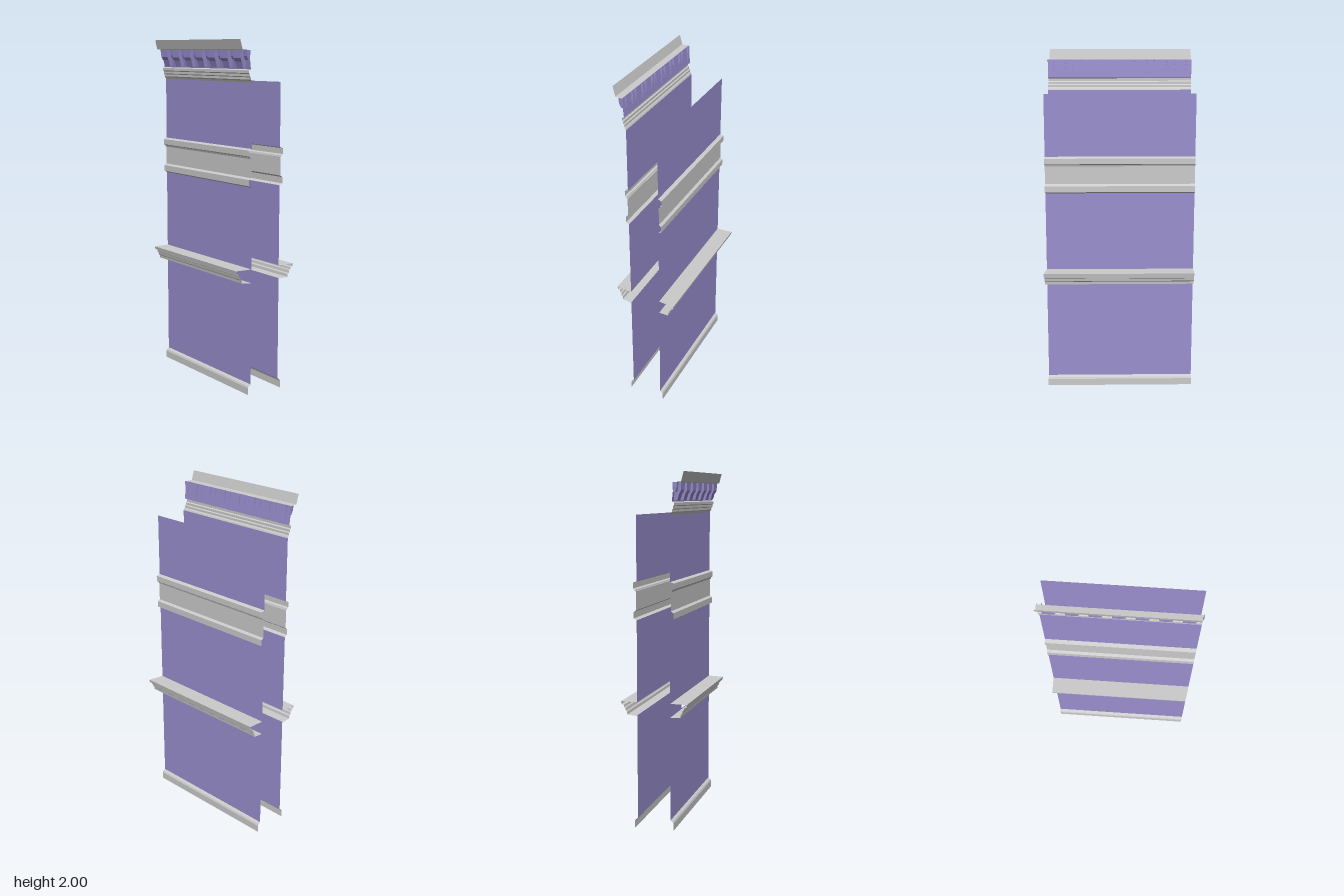
import * as THREE from 'three';

const grey = new THREE.MeshStandardMaterial({ color: 0xcccccc, side: THREE.DoubleSide, flatShading: true });
const purple = new THREE.MeshStandardMaterial({ color: 0x9a8fcf, side: THREE.DoubleSide, flatShading: true });

const WALL = 0.094; // distance of each wall plane from the centre

// The two walls: outward direction, left end, right end and mitre slope of the right end
const FRONT = { dir: 1, x0: -0.426, x1: 0.41, mitre: -0.15 };
const BACK = { dir: -1, x0: -0.44, x1: 0.425, mitre: 0.15 };

function meshFrom(name, positions, material) {
  const g = new THREE.BufferGeometry();
  g.setAttribute('position', new THREE.Float32BufferAttribute(positions, 3));
  g.computeVertexNormals();
  const m = new THREE.Mesh(g, material);
  m.name = name;
  return m;
}

// Quad a-b-c-d, counter-clockwise from outside
function quad(out, a, b, c, d) {
  out.push(...a, ...b, ...c, ...a, ...c, ...d);
}

// Sweeps a [depth, y] profile, listed top to bottom, along the length of a wall
function strip(name, wall, profile, material = grey) {
  const pos = [];
  const right = (z) => wall.x1 + wall.mitre * (z - WALL);
  for (let i = 0; i < profile.length - 1; i++) {
    const [za, ya] = profile[i];
    const [zb, yb] = profile[i + 1];
    const a = [wall.x0, ya, za * wall.dir];
    const b = [wall.x0, yb, zb * wall.dir];
    const c = [right(zb), yb, zb * wall.dir];
    const d = [right(za), ya, za * wall.dir];
    if (wall.dir > 0) quad(pos, a, b, c, d);
    else quad(pos, d, c, b, a);
  }
  return meshFrom(name, pos, material);
}

// Open-backed bracket: tapering front strip with two cheeks and an underside
function bracket(name, x, profile, topHalf, bottomHalf, back) {
  const pos = [];
  const yTop = profile[0][1];
  const yEnd = profile[profile.length - 1][1];
  const half = (y) => THREE.MathUtils.mapLinear(y, yEnd, yTop, bottomHalf, topHalf);
  for (let i = 0; i < profile.length - 1; i++) {
    const [za, ya] = profile[i];
    const [zb, yb] = profile[i + 1];
    const ha = half(ya), hb = half(yb);
    const a = [x - ha, ya, za], b = [x - hb, yb, zb], c = [x + hb, yb, zb], d = [x + ha, ya, za];
    quad(pos, a, b, c, d);
    quad(pos, [x - ha, ya, back], [x - hb, yb, back], b, a);
    quad(pos, d, c, [x + hb, yb, back], [x + ha, ya, back]);
  }
  const [ze, ye] = profile[profile.length - 1];
  quad(pos, [x - bottomHalf, ye, ze], [x - bottomHalf, ye, back], [x + bottomHalf, ye, back], [x + bottomHalf, ye, ze]);
  return meshFrom(name, pos, purple);
}

// Panels and mouldings shared by both walls
function buildWall(name, wall) {
  const group = new THREE.Group();
  group.name = name;
  const panels = [['lowerPanel', 0.66, 0.06], ['middlePanel', 1.195, 0.735], ['upperPanel', 1.77, 1.41]];
  for (const [n, top, bottom] of panels) group.add(strip(n, wall, [[WALL, top], [WALL, bottom]], purple));

  group.add(strip('skirting', wall, [[WALL, 0.06], [0.108, 0.05], [0.112, 0.04], [0.112, 0]]));
  group.add(strip('ledge', wall, [
    [WALL, 0.735], [0.19, 0.735], [0.187, 0.718], [0.174, 0.714], [0.172, 0.702],
    [0.165, 0.698], [0.162, 0.682], [0.155, 0.676], [0.153, 0.66], [WALL, 0.656],
  ]));
  group.add(strip('bandMoulding', wall, [
    [WALL, 1.41], [0.115, 1.402], [0.115, 1.37], [0.105, 1.364], [0.102, 1.355],
    [0.098, 1.355], [0.098, 1.25], [0.112, 1.24], [0.112, 1.205], [0.102, 1.2], [WALL, 1.195],
  ]));
  return group;
}

// Cornice over the front wall
function buildCornice(wall) {
  const group = new THREE.Group();
  group.name = 'cornice';
  group.add(strip('corniceMoulding', wall, [
    [0.104, 1.84], [0.117, 1.835], [0.117, 1.82], [0.11, 1.815], [0.11, 1.802],
    [0.104, 1.797], [0.104, 1.785], [0.098, 1.778], [WALL, 1.768],
  ]));
  group.add(strip('frieze', wall, [[0.115, 1.942], [0.104, 1.84]], purple));
  group.add(strip('crown', wall, [[0.17, 2], [0.155, 1.945], [0.115, 1.943]]));

  // Large brackets alternating with small ones
  const pitch = 0.117;
  for (let i = 0; i < 7; i++) {
    const x = -0.363 + i * pitch;
    group.add(bracket('largeBracket', x,
      [[0.148, 1.942], [0.146, 1.9], [0.139, 1.886], [0.135, 1.882], [0.124, 1.845]], 0.037, 0.026, 0.106));
  }
  for (let i = 0; i < 8; i++) {
    const x = THREE.MathUtils.clamp(-0.4215 + i * pitch, -0.408, 0.392);
    group.add(bracket('smallBracket', x, [[0.133, 1.942], [0.13, 1.91], [0.121, 1.89]], 0.018, 0.012, 0.108));
  }
  return group;
}

export function createModel() {
  const model = new THREE.Group();
  model.name = 'facade';
  const front = buildWall('frontWall', FRONT);
  front.add(buildCornice(FRONT));
  model.add(front, buildWall('backWall', BACK));
  return model;
}
